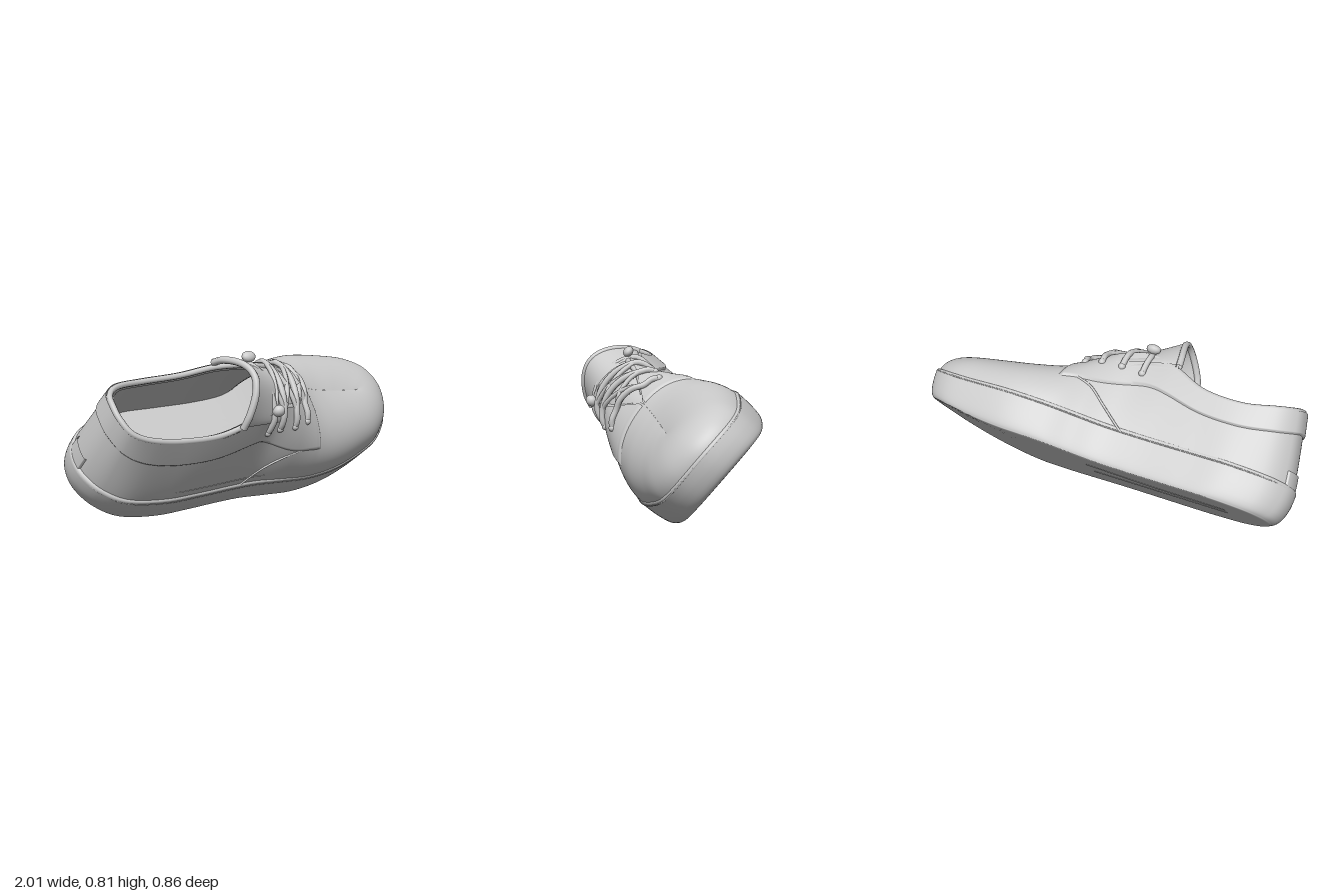
import * as THREE from 'three';
import { ParametricGeometry } from 'three/addons/geometries/ParametricGeometry.js';

const { smoothstep, lerp } = THREE.MathUtils;
const V = (x, y, z) => new THREE.Vector3(x, y, z);

// Around the shoe from the toe: plan outline (x, w), then the upper's top edge (x, height, w).
const RIDGE = .355;
const ROWS = [
  [1, .41, .71, .372, RIDGE], [.957, .25, .69, .375, RIDGE], [.85, .13, .63, .383, RIDGE],
  [.70, .06, .53, .40, RIDGE], [.50, 0, .40, .43, RIDGE], [.30, -.025, .28, .475, RIDGE],
  [.12, -.018, .09, .57, .22], [-.05, -.008, -.06, .62, .19], [-.2, -.01, -.16, .61, .155],
  [-.4, -.018, -.38, .55, .115], [-.6, -.02, -.6, .545, .115], [-.8, .012, -.78, .56, .135],
  [-.92, .09, -.88, .57, .18], [-.985, .19, -.922, .58, .26], [-.998, .285, -.93, .58, .335],
  [-.968, .37, -.91, .56, .41], [-.88, .45, -.83, .53, .47], [-.7, .505, -.66, .492, .503],
  [-.5, .51, -.45, .508, .503], [-.25, .515, -.27, .585, .485], [-.05, .54, -.1, .63, .445],
  [.1, .60, .09, .57, .43], [.25, .665, .28, .475, RIDGE], [.45, .70, .40, .43, RIDGE],
  [.7, .675, .53, .40, RIDGE], [.85, .635, .63, .383, RIDGE], [.957, .55, .69, .375, RIDGE],
];
const N = ROWS.length;
const closed = (pts) => new THREE.CatmullRomCurve3(pts, true, 'catmullrom', .5);
const outline = closed(ROWS.map(([x, w]) => V(x, 0, -w)));
const topEdge = closed(ROWS.map(([, , x, u, w]) => V(x, u, -w)));
const at = (curve, row) => curve.getPoint((((row / N) % 1) + 1) % 1);
const CENTRE = V(0, 0, -.29);
// The sole curls up at the toe, where its side wall is also lower
const toeSpring = (x) => .09 * Math.max(0, (x - .4) / .6) ** 1.6;
const toeness = (x) => smoothstep(x, .4, .95);
const wallHeight = (x, u) => u * (1 - .25 * toeness(x)) + toeSpring(x);

// Point on the upper: rounded over the forefoot, nearly straight at the heel
function skin(row, v) {
  const o = at(outline, row), t = at(topEdge, row);
  t.z = lerp(t.z, -RIDGE, smoothstep(t.x, .25, .28)); // both halves meet along the ridge
  o.lerp(CENTRE, .01);
  o.y = wallHeight(o.x, .165);
  const b = smoothstep(t.x, -.15, .3), a = v * Math.PI / 2;
  const k = lerp(v ** 1.25, 1 - Math.cos(a) ** .9, b);
  const m = lerp(v, Math.sin(a) ** .9, b);
  return V(lerp(o.x, t.x, k), lerp(o.y, t.y, m), lerp(o.z, t.z, k));
}

// Same point pushed out along the surface normal
function raised(row, v, offset) {
  const e = .01, p = skin(row, v), v0 = Math.max(0, v - e), v1 = Math.min(.995, v0 + 2 * e);
  const along = skin(row - e * 4, v).sub(skin(row + e * 4, v));
  const n = along.cross(skin(row, v1).sub(skin(row, v0)));
  if (n.lengthSq() < 1e-14) n.set(0, 1, 0);
  return p.addScaledVector(n.normalize(), offset);
}

export function createModel() {
  const model = new THREE.Group();
  const shoe = new THREE.Group();
  shoe.name = 'shoe';
  model.add(shoe);
  const material = new THREE.MeshStandardMaterial({ color: 0xcccccc, side: THREE.DoubleSide });

  const add = (name, geometry) => {
    const mesh = new THREE.Mesh(geometry, material);
    mesh.name = name;
    shoe.add(mesh);
    return mesh;
  };
  const surface = (name, fn, nu, nv) =>
    add(name, new ParametricGeometry((u, v, target) => target.copy(fn(u, v)), nu, nv));
  const tube = (name, pts, r, seg = 40) =>
    add(name, new THREE.TubeGeometry(new THREE.CatmullRomCurve3(pts), seg, r, 8));
  const ball = (name, p, r, sx = 1, sy = 1, sz = 1) => {
    const mesh = add(name, new THREE.SphereGeometry(r, 14, 10));
    mesh.position.copy(p);
    mesh.scale.set(sx, sy, sz);
  };

  // Sole and rubber side wall, swept round the outline
  const profile = new THREE.SplineCurve([
    [0, 0], [.3, 0], [.6, 0], [.88, 0], [.94, .008], [.975, .04], [.997, .1], [1.004, .165], [.998, .195], [.96, .205],
  ].map(([k, u]) => new THREE.Vector2(k, u)));
  surface('sole', (u, v) => {
    const q = profile.getPoint(v), edge = at(outline, (1 - u) * N);
    // the tread reaches nearer to the rim at the toe
    const fuller = .5 * toeness(edge.x) * smoothstep(q.x, .5, .9) * (v < .75 ? 1 : 0.6);
    const p = edge.sub(CENTRE).multiplyScalar(lerp(q.x, 1, fuller)).add(CENTRE);
    p.y = wallHeight(p.x, q.y);
    return p;
  }, 160, 54);

  // Fine raised line along the rubber wall
  const wall = [];
  for (let i = 0; i < 80; i++) {
    const p = at(outline, i * N / 80);
    p.y = wallHeight(p.x, .182);
    wall.push(p);
  }
  add('soleLine', new THREE.TubeGeometry(closed(wall), 200, .004, 6, true));

  // Shallow tread ribs under the heel and waist
  for (const s of [-1, 1]) {
    tube('treadRib', [V(-.7, .002, -.26 - s * .03), V(-.3, .002, -.27 - s * .04), V(.05, .002, -.3 - s * .07)], .005, 16);
  }

  // Upper, lining and insole
  surface('upper', (u, v) => skin((1 - u) * N, v * .9998), 180, 36);
  surface('lining', (u, v) => raised(u * N, v * .985, -.03), 120, 16);
  surface('insole', (u, v) => {
    const p = at(outline, u * N).sub(CENTRE).multiplyScalar((1 - v) * .94).add(CENTRE);
    p.y = .24 - .03 * smoothstep(p.x, 0, .5);
    return p;
  }, 80, 6);

  // Raised panel on the upper between two rows, thinning out at its edges
  const panel = (name, r0, r1, low, high, thick, nu = 50, nv = 16) =>
    surface(name, (u, v) => {
      const row = lerp(r1, r0, u), v0 = low(row), vv = lerp(v0, high, v);
      const ends = Math.min(u, 1 - u) * (r1 - r0);
      const edge = Math.min(1, ends / .12, (vv - v0) / .035);
      return raised(row, vv, lerp(-.004, thick, edge));
    }, nu, nv);

  // Quarter band: deep by the laces, shallower round the heel
  const bandEdge = (row) => {
    const d = Math.min(row - 4.9, 22.1 - row);
    return lerp(.40, .64, smoothstep(d, .7, 3)) + .06 * smoothstep(d, 5, 8);
  };
  panel('quarterBand', 4.9, 22.1, bandEdge, .985, .011, 220, 24);
  panel('heelTab', 13.3, 14.9, () => .03, .25, .01);

  // Curved seam from the lace panel down to the sole
  for (const rows of [[5.7, 6.3, 7, 7.8], [21.5, 21, 20.4, 19.6]]) {
    tube('sideSeam', rows.map((r, i) => raised(r, [.42, .36, .24, .04][i], 0)), .006);
  }

  // Padded collar and facing edges
  const rim = [];
  for (let r = 5.3; r <= 21.7; r += .2) rim.push(raised(r, .985, -.008));
  tube('collar', rim, .015, 160);

  // Tongue: x, side edges, edge height, crown height
  const stations = [
    [.5, .31, .41, .33, .36], [.28, .24, .46, .41, .455], [.1, .16, .49, .51, .57],
    [-.1, .13, .485, .57, .665], [-.29, .115, .50, .60, .77],
  ];
  const chain = (a, b) => new THREE.CatmullRomCurve3(stations.map((s) => V(s[0], s[a], s[b])));
  const edgeA = chain(1, 3), edgeB = chain(2, 4);
  const tongue = (q, v) => {
    const a = edgeA.getPoint(v), b = edgeB.getPoint(v);
    const sine = Math.max(0, Math.sin(Math.PI * q));
    return V(a.x + .06 * v * sine, lerp(a.z, b.z, sine ** .7), -lerp(a.y, b.y, q));
  };
  surface('tongue', tongue, 32, 30);
  surface('tongueLining', (q, v) => tongue(1 - q, v).add(V(0, -.025, 0)), 32, 30);
  const lip = [];
  for (let i = 0; i <= 16; i++) lip.push(tongue(i / 16, 1).add(V(0, -.012, 0)));
  tube('tongueEdge', lip, .018);

  // Laces: straight bars with thinner diagonals between them
  const left = [7.4, 6.75, 6.15, 5.6], right = [19.85, 20.5, 21.1, 21.6];
  const lace = (name, a, b, lift, r) => {
    const p = raised(a, .93, .02), q = raised(b, .93, .02);
    const mid = p.clone().lerp(q, .5);
    mid.y += lift;
    tube(name, [
      raised(a, .74, .008), raised(a, .82, .02), p,
      p.clone().lerp(mid, .5).add(V(0, lift * .28, 0)), mid,
      q.clone().lerp(mid, .5).add(V(0, lift * .28, 0)),
      q, raised(b, .82, .02), raised(b, .74, .008),
    ], r);
  };
  left.forEach((a, i) => {
    const lift = [.07, .055, .045, .03][i];
    lace('laceBar', a, right[i], lift, .016);
    if (i < 3) {
      lace('laceDiagonal', a, right[i + 1], lift - .008, .012);
      lace('laceDiagonal', left[i + 1], right[i], lift - .012, .012);
    }
    for (const r of [a, right[i]]) ball('laceEnd', raised(r, .74, .008), .019);
  });

  // Knotted lace ends at the top of the facings
  ball('laceKnot', V(-.08, .635, -.16), .032, 1, 1, .9);
  ball('laceKnot', V(-.12, .65, -.475), .03, 1.3, .8, 1);

  // The shoe lies tipped onto one edge of its sole
  shoe.rotation.x = THREE.MathUtils.degToRad(49.5);
  model.updateMatrixWorld(true);
  shoe.position.y = -new THREE.Box3().setFromObject(model, true).min.y;
  return model;
}
